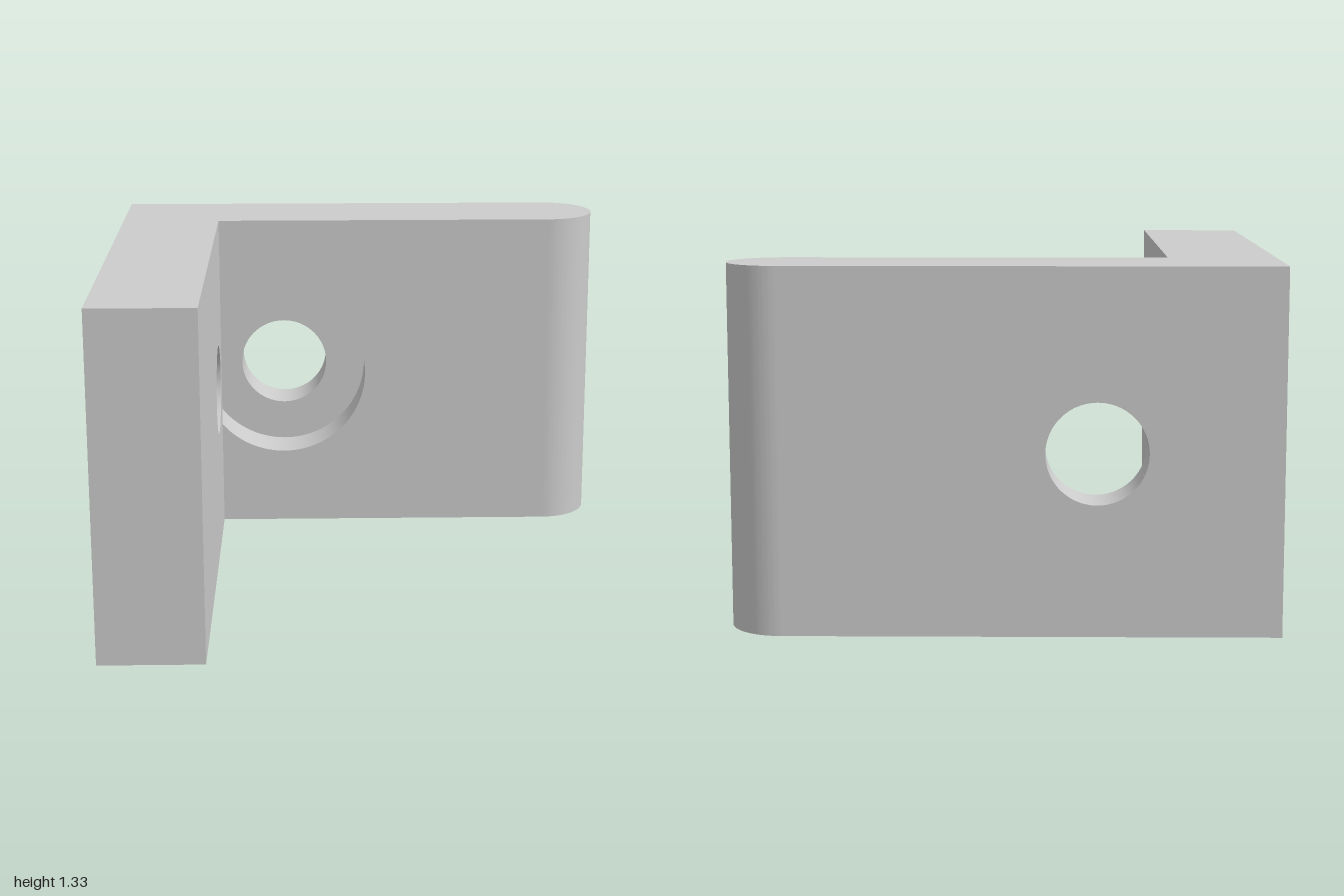
import * as THREE from 'three';
import { toCreasedNormals } from 'three/addons/utils/BufferGeometryUtils.js';

const HEIGHT = 1.333;      // height of both arms
const THICK = 0.4;         // wall thickness
const HOLE_R = 0.185;      // through holes
const BORE_R = 0.352;      // counterbore
const BORE_DEPTH = 0.2;
const HOLE_POS = 0.333;    // hole distance from the centre planes

const material = new THREE.MeshStandardMaterial({ color: 0xcccccc });

function extrude(shape, depth) {
  const geometry = new THREE.ExtrudeGeometry(shape, { depth, bevelEnabled: false, curveSegments: 48 });
  return toCreasedNormals(geometry, 0.6);
}

// Upright rectangle from u0 to u1 with one round hole at mid height
function drilledPlate(u0, u1, holeU, radius, depth) {
  const shape = new THREE.Shape();
  shape.moveTo(u0, 0);
  shape.lineTo(u1, 0);
  shape.lineTo(u1, HEIGHT);
  shape.lineTo(u0, HEIGHT);
  shape.closePath();
  const hole = new THREE.Path();
  hole.absarc(holeU, HEIGHT / 2, radius, 0, Math.PI * 2, true);
  shape.holes.push(hole);
  return extrude(shape, depth);
}

export function createModel() {
  const group = new THREE.Group();
  group.name = 'angleBracket';
  const add = (name, geometry) => {
    const mesh = new THREE.Mesh(geometry, material);
    mesh.name = name;
    group.add(mesh);
  };

  // Back arm: rear layer with the through hole, front layer with the counterbore
  const rear = THICK - BORE_DEPTH;
  add('backArmRear', drilledPlate(-1, 0.8, -HOLE_POS, HOLE_R, rear).translate(0, 0, -1));
  add('backArmCounterbore', drilledPlate(-1, 0.8, -HOLE_POS, BORE_R, BORE_DEPTH).translate(0, 0, -1 + rear));

  // Rounded end of the back arm: half disc in plan, extruded upward
  const halfDisc = new THREE.Shape();
  halfDisc.absarc(0.8, 0.8, THICK / 2, -Math.PI / 2, Math.PI / 2, false);
  halfDisc.closePath();
  add('roundedEnd', extrude(halfDisc, HEIGHT).rotateX(-Math.PI / 2));

  // Side arm running forward, drilled along x
  add('sideArm', drilledPlate(-1, 1 - THICK, HOLE_POS, HOLE_R, THICK)
    .rotateY(Math.PI / 2).translate(-1, 0, 0));

  return group;
}
